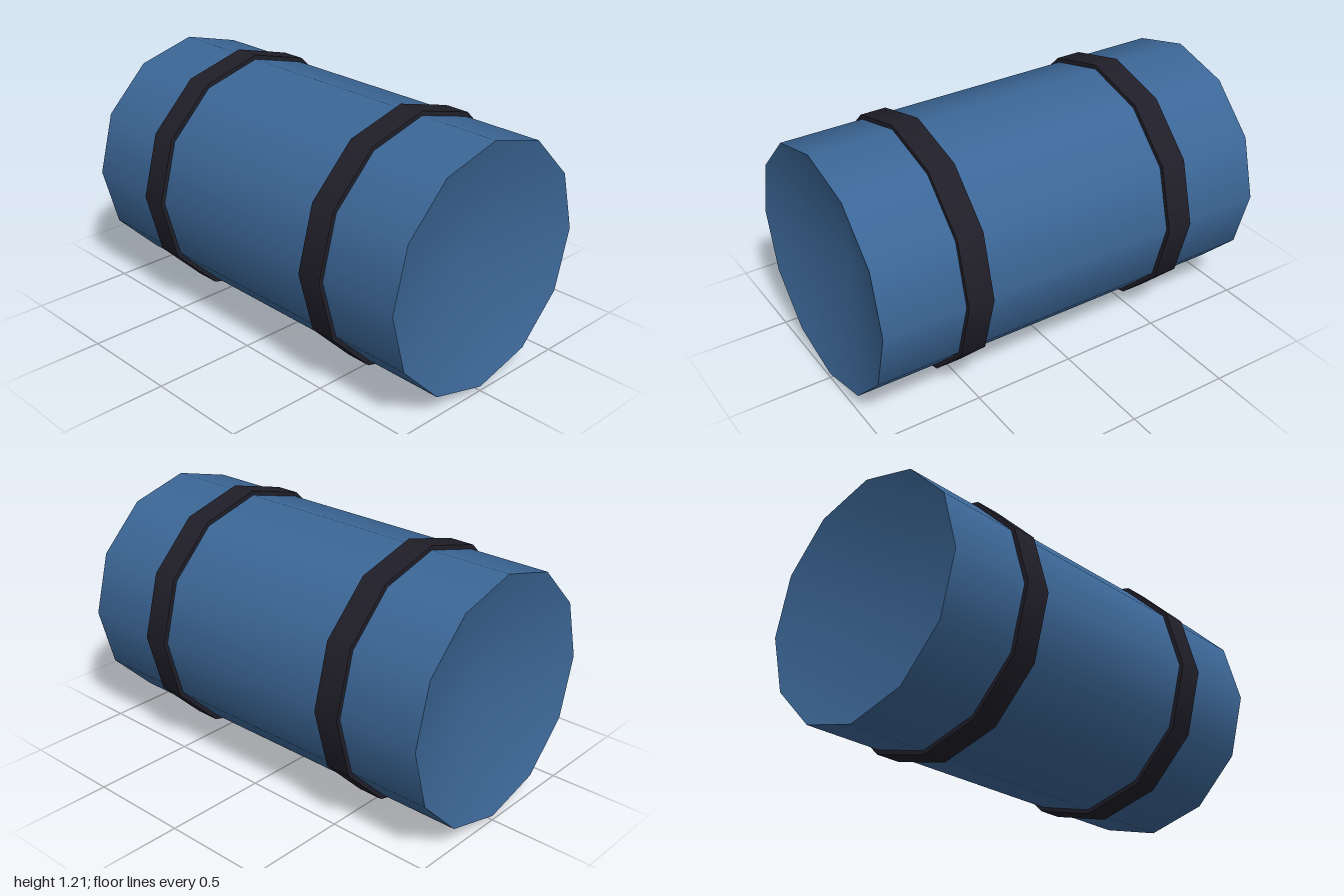
import * as THREE from 'three';
import { mergeVertices } from 'three/addons/utils/BufferGeometryUtils.js';

const SIDES = 12;
const CENTRE_Y = 0.604;
const BODY_RADIUS = 0.583;
const DISH_DEPTH = 0.16;

// Twelve-sided drum lying along x, smooth around the side
function drum(name, radius, length, x, openEnded, material) {
  const geometry = new THREE.CylinderGeometry(radius, radius, length, SIDES, 1, openEnded);
  geometry.rotateZ(Math.PI / 2);
  const mesh = new THREE.Mesh(geometry, material);
  mesh.name = name;
  mesh.position.set(x, CENTRE_Y, 0);
  return mesh;
}

// End face whose centre sinks inward, shaded smoothly across
function dishedEnd(name, side, material) {
  const disc = new THREE.CircleGeometry(BODY_RADIUS, SIDES);
  disc.attributes.position.setZ(0, -DISH_DEPTH);
  disc.deleteAttribute('uv');
  disc.deleteAttribute('normal');
  const geometry = mergeVertices(disc);
  geometry.computeVertexNormals();
  geometry.rotateY(side * Math.PI / 2);
  const mesh = new THREE.Mesh(geometry, material);
  mesh.name = name;
  mesh.position.set(side, CENTRE_Y, 0);
  return mesh;
}

export function createModel() {
  const blue = new THREE.MeshStandardMaterial({ color: 0x3c6797 });
  blue.name = 'blue';
  const charcoal = new THREE.MeshStandardMaterial({ color: 0x201f29 });
  charcoal.name = 'charcoal';

  const model = new THREE.Group();
  model.name = 'bandedRoll';

  // Main body
  model.add(drum('body', BODY_RADIUS, 2, 0, true, blue));

  // Sunken end and a band on each side
  for (const [label, side] of [['left', 1], ['right', -1]]) {
    model.add(dishedEnd(`${label}End`, side, blue));
    model.add(drum(`${label}Band`, 0.604, 0.125, side * 0.541, false, charcoal));
  }
  return model;
}
